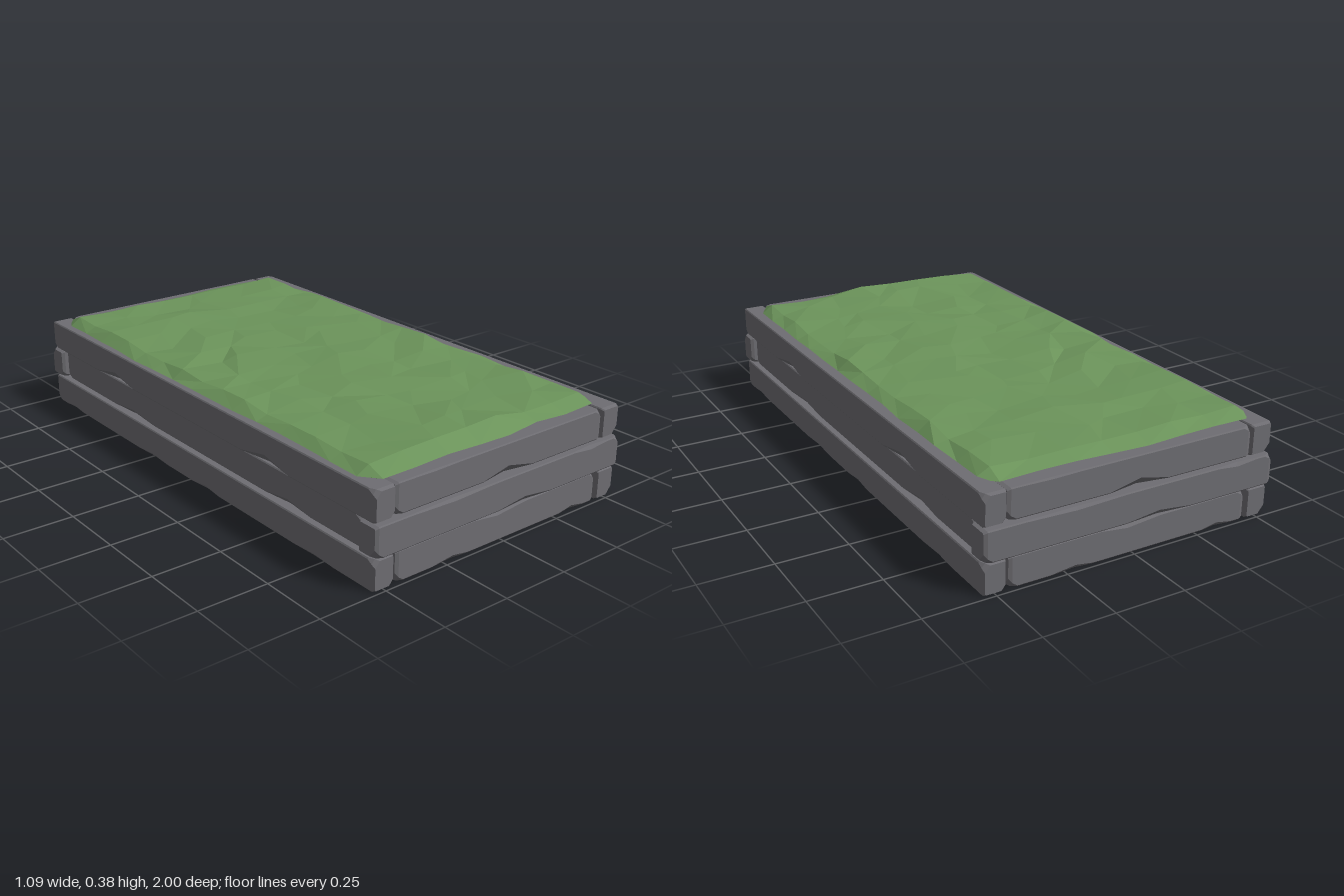
import * as THREE from 'three';

const stone = new THREE.MeshStandardMaterial({ color: 0x6e6d72, flatShading: true });
stone.name = 'grey stone';
const grass = new THREE.MeshStandardMaterial({ color: 0x6b935a, flatShading: true, side: THREE.DoubleSide });
grass.name = 'grass green';

function seeded(seed) {
  return () => {
    seed = (seed * 16807) % 2147483647;
    return seed / 2147483647;
  };
}

function geometryFrom(positions, index) {
  const g = new THREE.BufferGeometry();
  g.setAttribute('position', new THREE.Float32BufferAttribute(positions, 3));
  g.setIndex(index);
  const flat = g.toNonIndexed();
  flat.computeVertexNormals();
  return flat;
}

// Corners of a beam's cross-section as [outward, up]
const CORNERS = [[1, -1], [-1, -1], [-1, 1], [1, 1]];

// Rough beam along x, its outer face at +z. Each chip is [x, corner, size, half width].
function beamGeometry(length, height, depth, chips) {
  const e = length / 2, D = depth / 2, H = height / 2;
  const stops = [-e, -e + 0.012, e - 0.012, e];
  chips.forEach(([x, , , w]) => stops.push(x - w, x, x + w));
  const xs = [...new Set(stops.filter(x => Math.abs(x) <= e))].sort((a, b) => a - b);
  const pos = [], idx = [];
  for (const x of xs) {
    const inset = Math.abs(x) === e ? 0.005 : 0;
    CORNERS.forEach(([sz, sy], k) => {
      let cut = 0.004;
      for (const [cx, corner, size, w] of chips) {
        if (corner === k) cut = Math.max(cut, size * (1 - Math.abs(x - cx) / w));
      }
      const side = [x, sy * (H - inset - cut), sz * (D - inset)];
      const flat = [x, sy * (H - inset), sz * (D - inset - cut * 0.8)];
      pos.push(...(k % 2 ? [...flat, ...side] : [...side, ...flat]));
    });
  }
  const last = (xs.length - 1) * 8;
  for (let i = 0; i < last; i += 8) {
    for (let j = 0; j < 8; j++) {
      const a = i + j, d = i + (j + 1) % 8;
      idx.push(a, d, d + 8, a, d + 8, a + 8);
    }
  }
  for (let j = 1; j < 7; j++) idx.push(0, j + 1, j, last, last + j, last + j + 1);
  return geometryFrom(pos, idx);
}

// Courses from the ground up; out = distance of the outer face from the centre
const COURSES = [
  { y: 0.058, end: { length: 0.9, out: 0.985, chips: [[-0.21, 0, 0.014, 0.09], [0.34, 0, 0.015, 0.06], [-0.02, 3, 0.016, 0.13]] },
    side: { length: 1.98, out: 0.54, chips: [[-0.85, 0, 0.012, 0.07], [-0.25, 0, 0.012, 0.1], [0.1, 0, 0.014, 0.08], [0.7, 0, 0.01, 0.1]] } },
  { y: 0.172, end: { length: 1.088, out: 1, chips: [[0.09, 0, 0.018, 0.12], [-0.22, 3, 0.01, 0.18], [0.4, 3, 0.012, 0.08]] },
    side: { length: 1.83, out: 0.525, chips: [[-0.4, 0, 0.018, 0.14], [0.55, 0, 0.02, 0.12]] } },
  { y: 0.284, end: { length: 0.915, out: 0.985, chips: [[0.02, 0, 0.028, 0.11], [-0.3, 3, 0.006, 0.1]] },
    side: { length: 1.98, out: 0.54, chips: [[-0.5, 0, 0.03, 0.13], [0.45, 0, 0.03, 0.13], [0.1, 2, 0.01, 0.2]] } },
];

// Closed ground sheet: uneven facets with a rim that turns down
function grassGeometry() {
  const rand = seeded(4711), NX = 9, NZ = 16, pos = [], idx = [];
  const jitter = a => (rand() - 0.5) * a;
  for (let j = 0; j <= NZ; j++) {
    for (let i = 0; i <= NX; i++) {
      const ring = Math.min(i, j, NX - i, NZ - j);
      // ring 0 is the rim, ring 1 the shoulder
      const place = (k, n, half, shoulder) =>
        k === 0 ? -half : k === n ? half : -shoulder + (2 * shoulder * (k - 1)) / (n - 2);
      let x = place(i, NX, 0.51, 0.465), z = place(j, NZ, 0.942, 0.88), y;
      if (ring === 0) {
        y = 0.342 + jitter(0.008);
        const corner = (i === 0 || i === NX) && (j === 0 || j === NZ);
        if (corner) { x *= 0.95; z *= 0.975; }
        else if (j === 0 || j === NZ) z += jitter(0.01);
        else x += jitter(0.012);
      } else {
        y = 0.364 + jitter(0.018);
        if (ring > 1) { x += jitter(0.075); z += jitter(0.075); }
        // low swell near the front
        y += 0.022 * Math.exp(-(((x + 0.08) / 0.22) ** 2) - ((z - 0.86) / 0.12) ** 2);
      }
      pos.push(x - 0.008, y, z);
    }
  }
  for (let j = 0; j < NZ; j++) {
    for (let i = 0; i < NX; i++) {
      const a = j * (NX + 1) + i, b = a + 1, c = a + NX + 1, d = c + 1;
      if (rand() < 0.5) idx.push(a, c, b, b, c, d);
      else idx.push(a, c, d, a, d, b);
    }
  }
  return geometryFrom(pos, idx);
}

export function createModel() {
  const model = new THREE.Group();
  model.name = 'raisedBed';
  const names = ['front', 'left', 'back', 'right'];
  const levels = ['Lower', 'Middle', 'Upper'];

  // Four beams per course, alternating which pair overlaps at the corners
  COURSES.forEach((course, level) => {
    names.forEach((name, turn) => {
      const { length, out, chips } = turn % 2 ? course.side : course.end;
      const e = length / 2;
      const worn = [...chips, [-e, 0, 0.028, 0.03], [e, 3, 0.022, 0.035], [e, 1, 0.018, 0.03]];
      const mesh = new THREE.Mesh(beamGeometry(length, 0.107, 0.08, worn), stone);
      mesh.name = name + levels[level] + 'Beam';
      const angle = (turn * Math.PI) / 2;
      mesh.rotation.y = angle;
      mesh.position.set(Math.sin(angle) * (out - 0.04), course.y, Math.cos(angle) * (out - 0.04));
      model.add(mesh);
    });
  });

  const lawn = new THREE.Mesh(grassGeometry(), grass);
  lawn.name = 'grassTop';
  model.add(lawn);
  return model;
}
